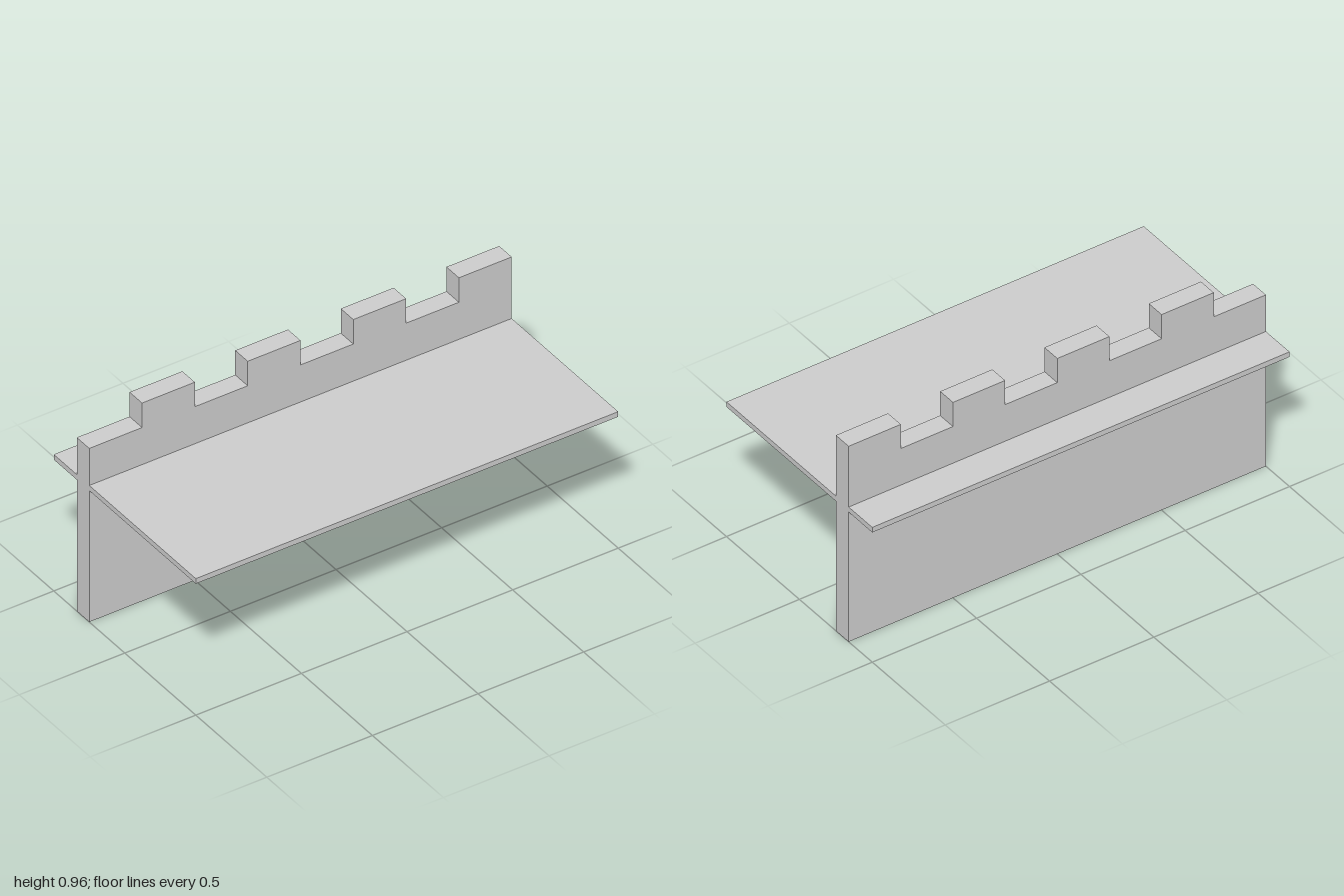
import * as THREE from 'three';

export function createModel() {
  const group = new THREE.Group();
  const stone = new THREE.MeshStandardMaterial({ color: 0xcccccc });
  stone.name = 'light grey stone';

  const wallFront = -0.25, wallBack = -0.338;
  const crenelY = 0.843, merlonY = 0.962;

  // Battlement wall: one outline, alternating gaps and merlons along the top
  const outline = new THREE.Shape();
  outline.moveTo(-1, 0);
  outline.lineTo(1, 0);
  for (let i = 7; i >= 0; i--) {
    const y = i % 2 ? merlonY : crenelY;
    outline.lineTo(-1 + (i + 1) * 0.25, y);
    outline.lineTo(-1 + i * 0.25, y);
  }
  outline.closePath();
  const wall = new THREE.Mesh(
    new THREE.ExtrudeGeometry(outline, { depth: wallFront - wallBack, bevelEnabled: false }), stone);
  wall.position.z = wallBack;
  wall.name = 'battlementWall';
  group.add(wall);

  // Walkway slabs on both sides of the wall
  const addSlab = (name, zBack, zFront) => {
    const slab = new THREE.Mesh(new THREE.BoxGeometry(2, 0.025, zFront - zBack), stone);
    slab.position.set(0, 0.6505, (zBack + zFront) / 2);
    slab.name = name;
    group.add(slab);
  };
  addSlab('frontWalkway', wallFront, 0.5);
  addSlab('rearLedge', -0.5, wallBack);

  return group;
}
